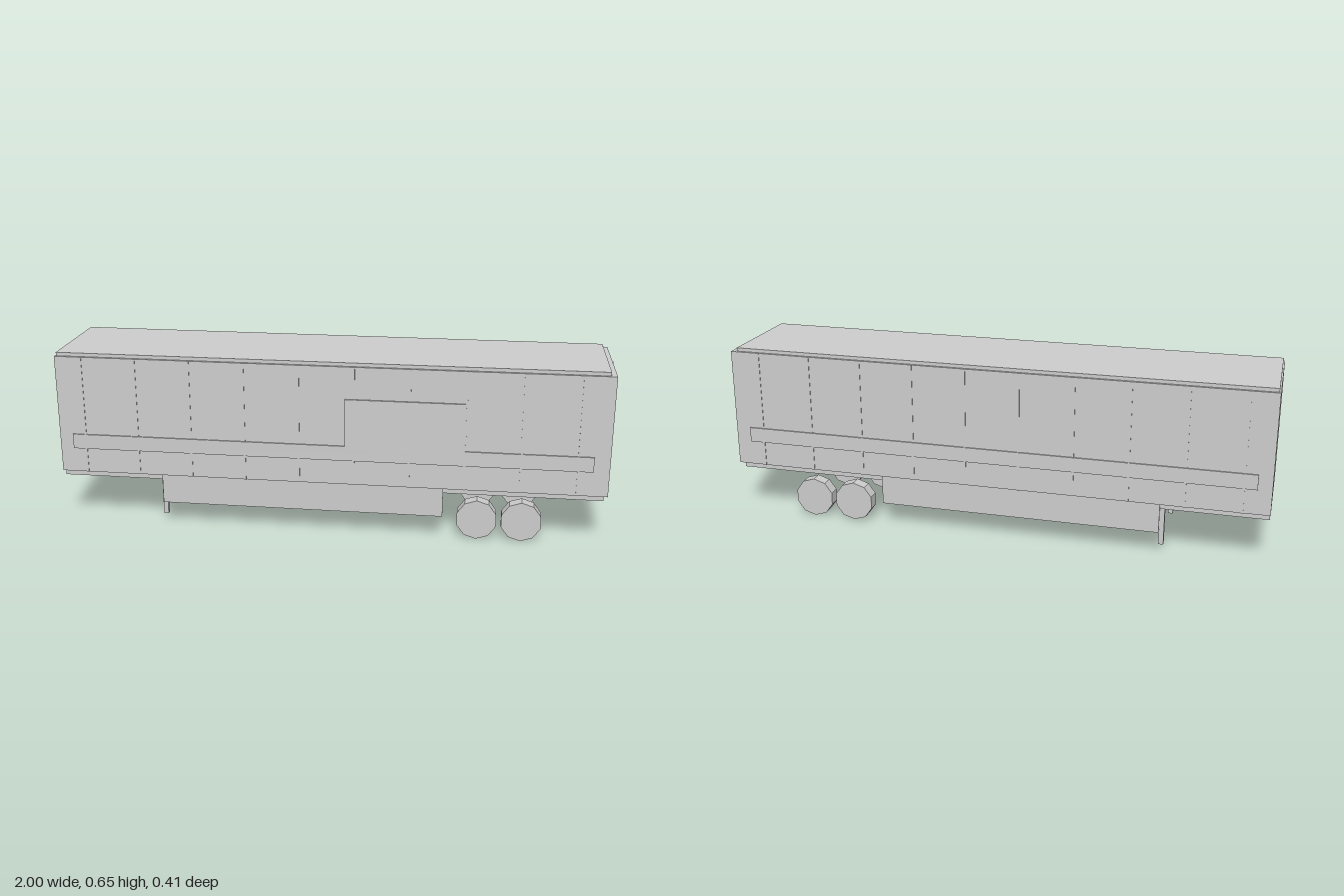
import * as THREE from 'three';

export function createModel() {
  const trailer = new THREE.Group();
  trailer.name = 'trailer';
  const grey = new THREE.MeshStandardMaterial({ color: 0xcccccc });
  grey.name = 'light grey';

  // Box given by its extents along each axis
  function box(name, [x0, x1], [y0, y1], [z0, z1]) {
    const mesh = new THREE.Mesh(new THREE.BoxGeometry(x1 - x0, y1 - y0, z1 - z0), grey);
    mesh.position.set((x0 + x1) / 2, (y0 + y1) / 2, (z0 + z1) / 2);
    mesh.name = name;
    trailer.add(mesh);
  }
  // Extents in z mirrored for either side
  const sideZ = (s, a, b) => (s > 0 ? [a, b] : [-b, -a]);

  // Cargo body, roof and chassis
  box('cargoBody', [-1, 0.996], [0.198, 0.639], [-0.2, 0.2]);
  box('roof', [-0.995, 0.976], [0.639, 0.652], [-0.191, 0.191]);
  box('underframe', [-0.998, 0.985], [0.173, 0.198], [-0.177, 0.177]);

  // Rear door seam
  box('doorSeam', [0.996, 1], [0.198, 0.638], [-0.004, 0.004]);

  // Ten-sided wheels, corner at the top
  const wheelGeometry = new THREE.CylinderGeometry(0.0745, 0.0745, 0.046, 10).toNonIndexed();
  wheelGeometry.computeVertexNormals();
  wheelGeometry.rotateX(Math.PI / 2);

  for (const s of [1, -1]) {
    // Wall ribs
    for (let i = 0; i < 10; i++) {
      const x = -0.903 + i * 0.199;
      box('wallRib', [x - 0.004, x + 0.004], [0.198, 0.639], sideZ(s, 0.2, 0.202));
    }
    // Long side stripe
    box('sideStripe', [-0.95, 0.94], [0.29, 0.345], sideZ(s, 0.2, 0.205));
    // Aerodynamic skirt
    box('sideSkirt', [-0.62, 0.417], [0.088, 0.198], sideZ(s, 0.19, 0.195));
    // Landing leg
    box('landingLeg', [-0.634, -0.616], [0.024, 0.173], sideZ(s, 0.134, 0.152));
    for (const x of [0.54, 0.7]) {
      const wheel = new THREE.Mesh(wheelGeometry, grey);
      wheel.name = 'wheel';
      wheel.position.set(x, 0.0775, s * 0.161);
      trailer.add(wheel);
    }
  }

  // Raised sign panel on the left wall
  box('signPanel', [0.061, 0.49], [0.332, 0.521], [0.2, 0.2065]);

  // Stand on the ground
  trailer.position.y = -0.003;
  return trailer;
}
